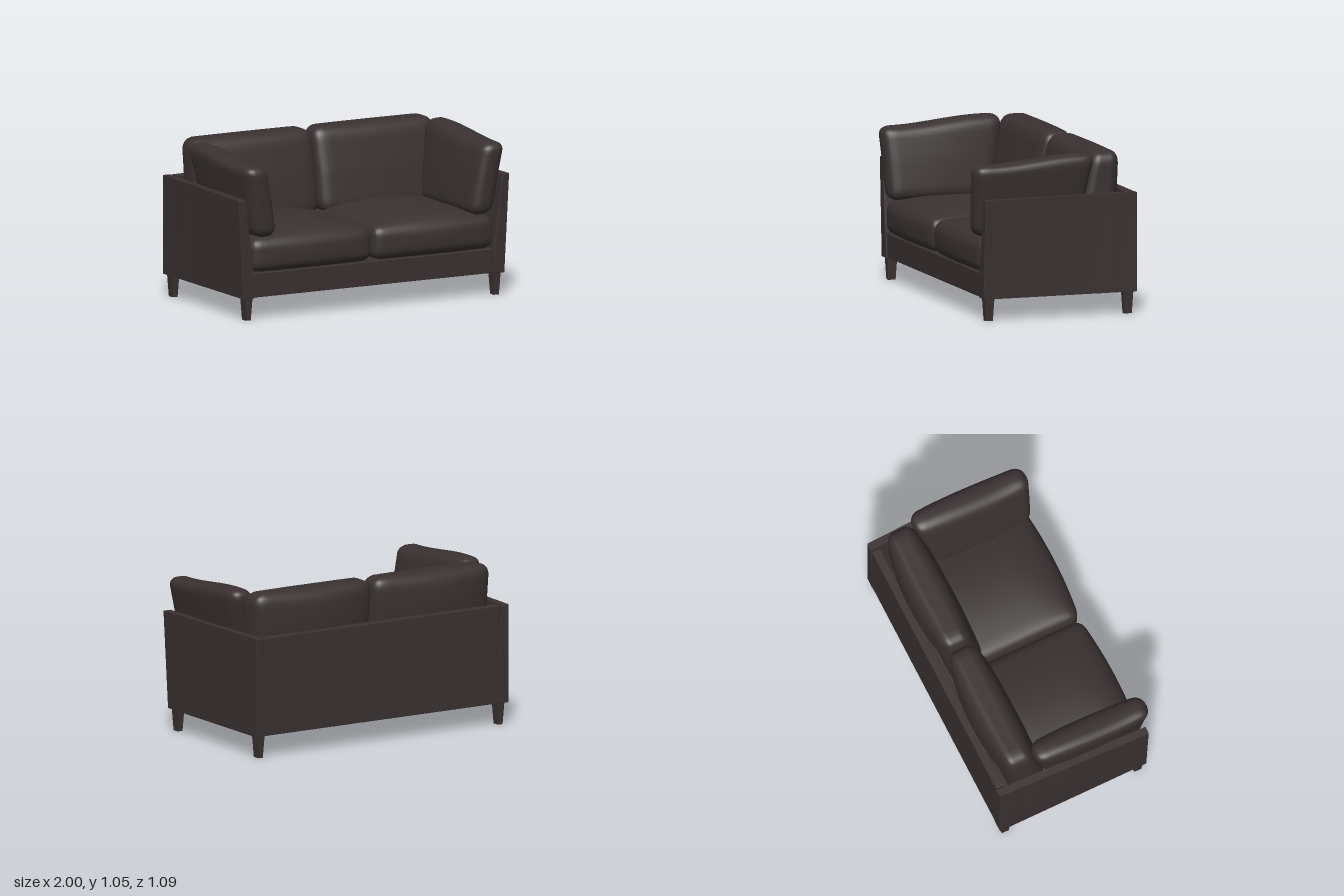
import * as THREE from 'three';
import { mergeVertices } from 'three/addons/utils/BufferGeometryUtils.js';
import { RoundedBoxGeometry } from 'three/addons/geometries/RoundedBoxGeometry.js';

const leather = new THREE.MeshStandardMaterial({ color: 0x3a3131 });
leather.name = 'darkBrownLeather';

function add(group, name, geometry, x = 0, y = 0, z = 0) {
  const mesh = new THREE.Mesh(geometry, leather);
  mesh.name = name;
  mesh.position.set(x, y, z);
  group.add(mesh);
}

// Soft rounded box; shape(p, u, v, w) moves each point, with u, v, w running -1..1 across the box
function cushion(hx, hy, hz, r, shape) {
  let g = new THREE.BoxGeometry(2, 2, 2, 22, 22, 22);
  g.deleteAttribute('uv');
  g.deleteAttribute('normal');
  g = mergeVertices(g);
  const half = new THREE.Vector3(hx, hy, hz);
  const inner = half.clone().subScalar(r);
  const p = new THREE.Vector3(), core = new THREE.Vector3();
  const ease = t => Math.sin(t * Math.PI / 2);
  const pos = g.attributes.position;
  for (let i = 0; i < pos.count; i++) {
    p.fromBufferAttribute(pos, i);
    p.set(ease(p.x), ease(p.y), ease(p.z)).multiply(half);
    core.copy(p).clamp(inner.clone().negate(), inner);
    p.sub(core).setLength(r).add(core);
    shape(p, p.x / hx, p.y / hy, p.z / hz);
    pos.setXYZ(i, p.x, p.y, p.z);
  }
  g.computeVertexNormals();
  return g;
}

// Side panel, thick at the foot, thin at the top, flaring outward toward the front
function armPanel(s) {
  const b = 0.005;
  const shape = new THREE.Shape(
    [[0.88, 0.145], [0.965, 0.145], [0.965, 0.79], [0.913, 0.79], [0.88, 0.31]]
      .map(([x, y]) => new THREE.Vector2(s * x, y)));
  const g = new THREE.ExtrudeGeometry(shape, {
    depth: 1.05 - 2 * b, steps: 6, bevelEnabled: true, bevelThickness: b,
    bevelSize: b, bevelOffset: -b, bevelSegments: 2,
  });
  g.translate(0, 0, -0.55 + b);
  const pos = g.attributes.position;
  for (let i = 0; i < pos.count; i++) {
    const t = (pos.getZ(i) + 0.55) / 1.05;
    pos.setX(i, pos.getX(i) + s * 0.035 * t * (pos.getY(i) - 0.145) / 0.645);
  }
  g.computeVertexNormals();
  return g;
}

// Square leg tapering to the floor
function taperedLeg() {
  const g = new THREE.BoxGeometry(0.055, 0.15, 0.066);
  const pos = g.attributes.position;
  for (let i = 0; i < pos.count; i++) {
    if (pos.getY(i) < 0) {
      pos.setX(i, pos.getX(i) * 0.66);
      pos.setZ(i, pos.getZ(i) * 0.76);
    }
  }
  g.computeVertexNormals();
  return g;
}

export function createModel() {
  const sofa = new THREE.Group();
  sofa.name = 'sofa';

  // Frame
  add(sofa, 'seatBase', new RoundedBoxGeometry(1.77, 0.158, 1.03, 2, 0.005), 0, 0.226, -0.025);
  add(sofa, 'backPanel', new RoundedBoxGeometry(1.8, 0.643, 0.06, 2, 0.005), 0, 0.4675, -0.518);

  for (const s of [1, -1]) {
    const side = s > 0 ? 'left' : 'right';
    add(sofa, side + 'Arm', armPanel(s));
    add(sofa, side + 'FrontLeg', taperedLeg(), s * 0.917, 0.075, 0.452);
    add(sofa, side + 'BackLeg', taperedLeg(), s * 0.917, 0.075, -0.497);

    // Seat cushion with crowned top and bowed front
    add(sofa, side + 'SeatCushion', cushion(0.446, 0.11, 0.45, 0.065, (p, u, v, w) => {
      if (v > 0) p.y += 0.062 * v * (1 - u * u) * (1 - Math.pow(w, 4));
      if (w > 0) p.z += 0.035 * w * (1 - u * u) * (1 - 0.4 * v * v);
    }), s * 0.45, 0.415, 0.05);

    // Back cushion leaning rearward, slimmer toward the top
    add(sofa, side + 'BackCushion', cushion(0.448, 0.275, 0.13, 0.08, (p, u, v, w) => {
      p.z *= (1 - 0.17 * Math.max(v, 0)) * (1 - 0.15 * u * u);
      p.z -= 0.045 * v;
      if (w < 0) p.z += 0.045 * w * (1 - u * u) * (1 - v * v);
    }), s * 0.452, 0.775, -0.325);

    // Loose arm cushion tilted outward, sloping down toward the front
    add(sofa, side + 'ArmCushion', cushion(0.082, 0.258, 0.3825, 0.07, (p, u, v, w) => {
      const slope = THREE.MathUtils.smoothstep(w, -0.7, 0.8);
      p.x += 0.02 * u * (1 - w * w) * (1 - 0.4 * v * v) + s * 0.042 * v;
      p.z = w * (0.3825 + 0.031 * v) - 0.019 * v;
      if (v > 0) p.y -= 0.045 * v * slope;
    }), s * 0.838, 0.792, 0.1525);
  }
  return sofa;
}
